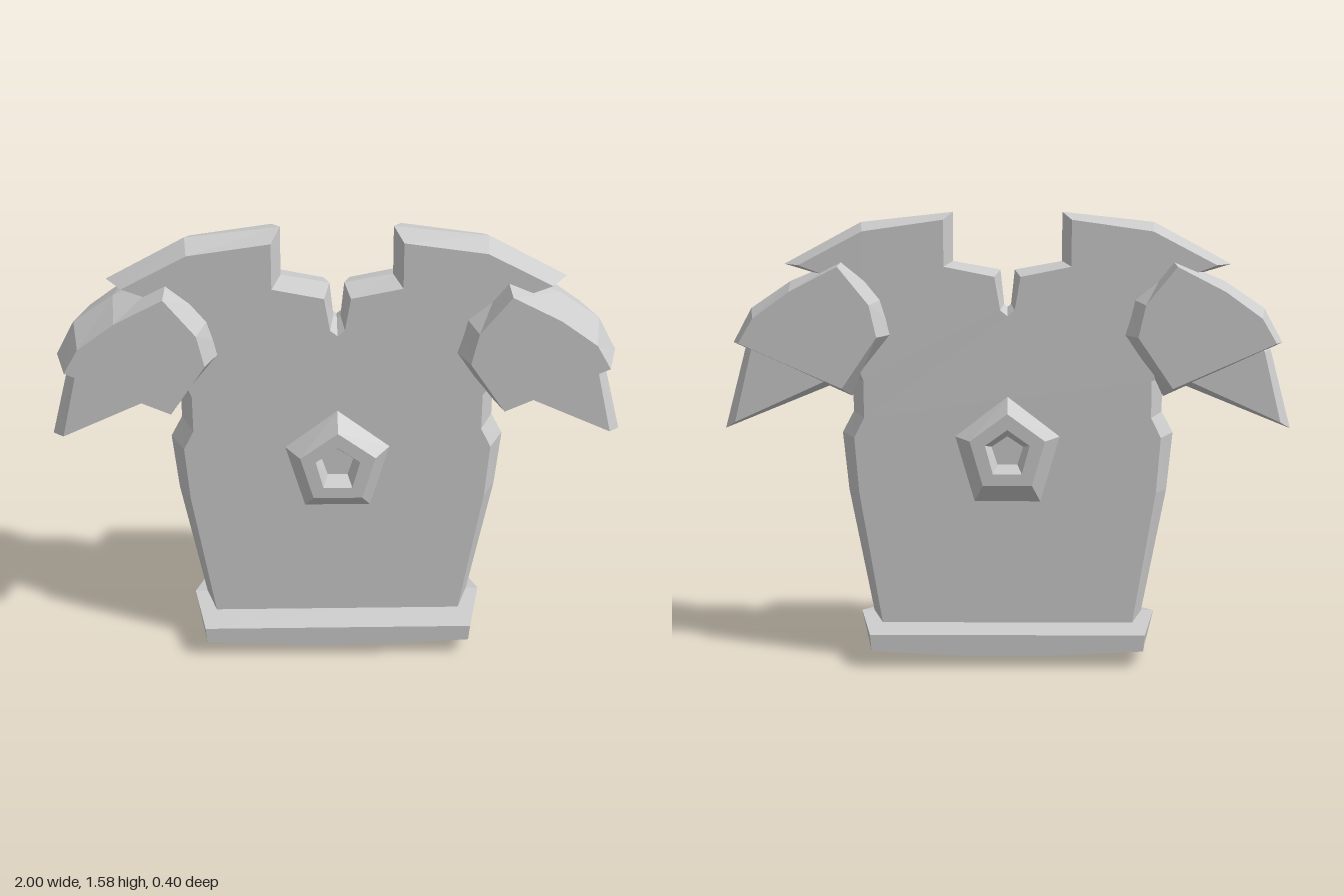
import * as THREE from 'three';

const material = new THREE.MeshStandardMaterial({ color: 0xcccccc, flatShading: true });

// Contour helpers: mirror across x, and close a right half into a full outline
const flip = (pts) => pts.map(([x, y]) => [-x, y]).reverse();
const whole = (half) => [...half, ...flip(half).filter(([x]) => Math.abs(x) > 1e-6)];

// Lofts outlines with equal point counts from back to front and caps both ends
function loft(name, rings) {
  const ccw = THREE.ShapeUtils.area(rings[0].pts.map((p) => new THREE.Vector2(...p))) > 0;
  const loops = rings.map(({ pts, z }) => (ccw ? pts : [...pts].reverse()).map(([x, y]) => [x, y, z]));
  const n = loops[0].length;
  const pos = [];
  const tri = (a, b, c) => pos.push(...a, ...b, ...c);
  for (let k = 0; k < loops.length - 1; k++) {
    for (let i = 0; i < n; i++) {
      const j = (i + 1) % n;
      const a = loops[k][i], b = loops[k][j], c = loops[k + 1][j], d = loops[k + 1][i];
      tri(a, b, c);
      tri(a, c, d);
    }
  }
  const cap = (loop, front) => {
    const flat = loop.map(([x, y]) => new THREE.Vector2(x, y));
    for (const [a, b, c] of THREE.ShapeUtils.triangulateShape(flat, [])) {
      if (front) tri(loop[a], loop[b], loop[c]);
      else tri(loop[a], loop[c], loop[b]);
    }
  };
  cap(loops[0], false);
  cap(loops[loops.length - 1], true);
  const geometry = new THREE.BufferGeometry();
  geometry.setAttribute('position', new THREE.Float32BufferAttribute(pos, 3));
  geometry.computeVertexNormals();
  const mesh = new THREE.Mesh(geometry, material);
  mesh.name = name;
  return mesh;
}

// Plate widest at z = 0, bevelled to a smaller outline on its two faces
const plate = (name, ridge, face, depth) =>
  loft(name, [{ pts: face, z: -depth }, { pts: ridge, z: 0 }, { pts: face, z: depth }]);

export function createModel() {
  const group = new THREE.Group();
  group.name = 'chestArmor';

  // Torso, from the neck notch over the shoulder and down the side
  const torsoRidge = [
    [0, 1.25], [0.012, 1.26], [0.025, 1.38], [0.19, 1.41], [0.19, 1.58], [0.51, 1.545], [0.78, 1.4],
    [0.63, 1.355], [0.6, 1.2], [0.545, 1.0], [0.545, 0.88], [0.585, 0.805], [0.565, 0.6], [0.48, 0.15], [0.47, 0.09],
  ];
  const torsoFace = [
    [0, 1.225], [0.025, 1.245], [0.045, 1.36], [0.22, 1.395], [0.22, 1.555], [0.5, 1.515], [0.72, 1.4],
    [0.64, 1.37], [0.58, 1.2], [0.5, 1.0], [0.5, 0.87], [0.535, 0.8], [0.52, 0.605], [0.445, 0.15], [0.435, 0.09],
  ];
  group.add(plate('torso', whole(torsoRidge), whole(torsoFace), 0.1));

  // Belt
  const beltRidge = [[0.525, 0.155], [0.495, 0.025], [0.135, 0]];
  const beltFace = [[0.48, 0.118], [0.475, 0.06], [0.13, 0.042]];
  group.add(plate('belt', whole(beltRidge), whole(beltFace), 0.2));

  // Shoulder guards and the pointed sleeves beneath them
  const guardRidge = [[0.57, 1.42], [0.76, 1.34], [0.9, 1.245], [0.965, 1.125], [0.55, 0.935], [0.37, 1.16], [0.41, 1.29]];
  const guardFace = [[0.575, 1.4], [0.74, 1.315], [0.865, 1.225], [0.915, 1.14], [0.565, 0.985], [0.445, 1.16], [0.47, 1.27]];
  const sleeveRidge = [[0.58, 1.2], [0.88, 1.2], [0.925, 1.1], [1.0, 0.82], [0.62, 0.975]];
  const sleeveFace = [[0.6, 1.17], [0.85, 1.18], [0.89, 1.1], [0.95, 0.855], [0.63, 1.0]];
  for (const [side, map] of [['left', (p) => p], ['right', flip]]) {
    group.add(plate(side + 'ShoulderGuard', map(guardRidge), map(guardFace), 0.2));
    group.add(plate(side + 'Sleeve', map(sleeveRidge), map(sleeveFace), 0.1));
  }

  // Five-sided boss with a recessed centre, on chest and back
  const base = whole([[0, 0.945], [0.182, 0.805], [0.115, 0.575]]);
  const rim = whole([[0, 0.895], [0.13, 0.8], [0.085, 0.645]]);
  const hole = whole([[0, 0.84], [0.077, 0.785], [0.05, 0.685]]);
  const floor = whole([[0, 0.81], [0.055, 0.773], [0.035, 0.71]]);
  group.add(loft('chestBoss', [
    { pts: floor, z: -0.125 }, { pts: hole, z: -0.18 }, { pts: rim, z: -0.18 }, { pts: base, z: -0.1 },
    { pts: base, z: 0.1 }, { pts: rim, z: 0.18 }, { pts: hole, z: 0.18 }, { pts: floor, z: 0.125 },
  ]));
  return group;
}
